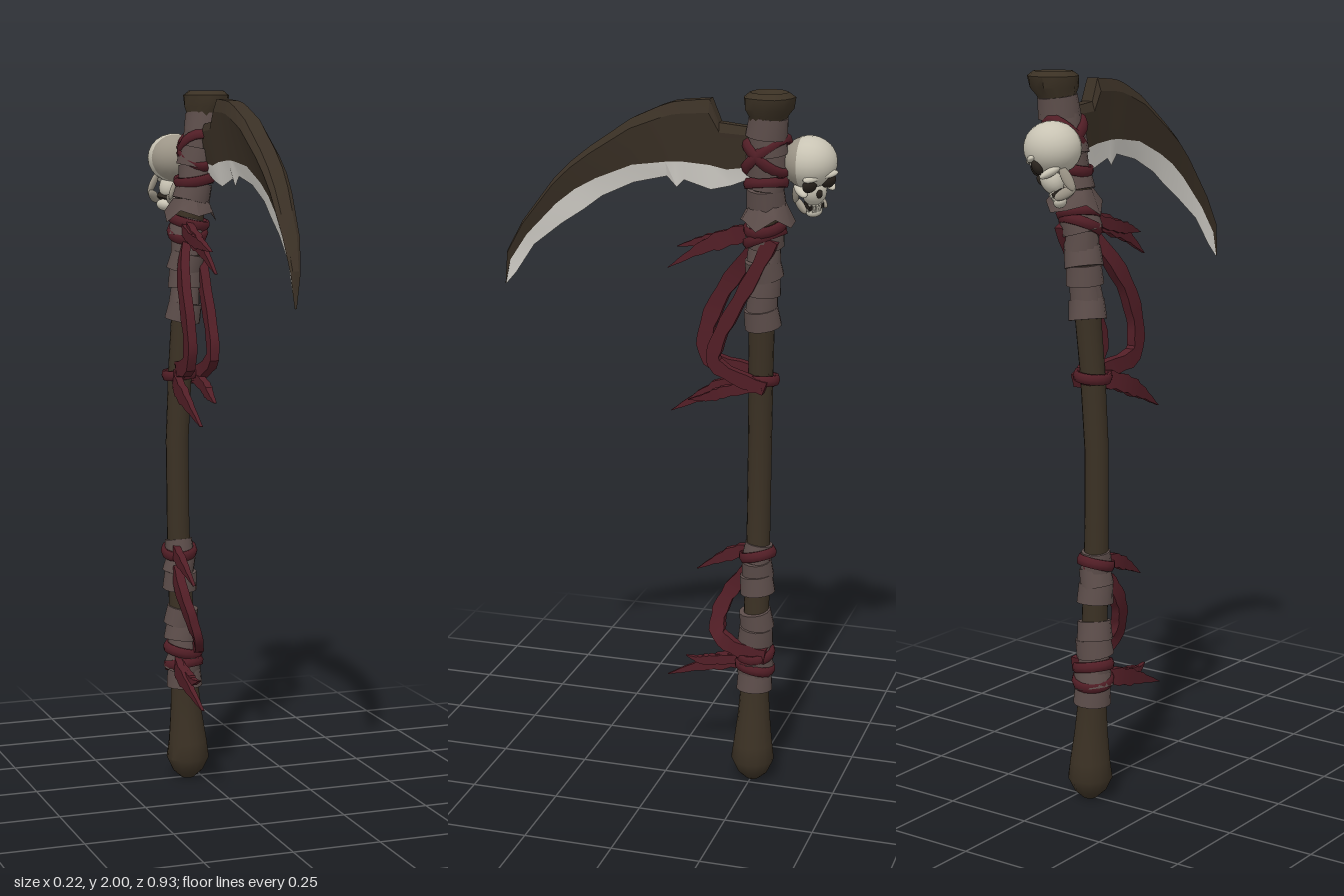
import * as THREE from 'three';
import { toCreasedNormals } from 'three/addons/utils/BufferGeometryUtils.js';

const paint = (name, color) => Object.assign(new THREE.MeshStandardMaterial({ color }), { name });
const V = (x, y, z) => new THREE.Vector3(x, y, z);

// Skin a list of rings (counter-clockwise around the sweep) and close both ends
function loft(rings, crease = 0.6) {
  const n = rings[0].length, pos = [], idx = [];
  rings.forEach(r => r.forEach(p => pos.push(p.x, p.y, p.z)));
  for (let i = 0; i < rings.length - 1; i++) {
    for (let j = 0; j < n; j++) {
      const a = i * n + j, b = i * n + (j + 1) % n;
      idx.push(a, b, b + n, a, b + n, a + n);
    }
  }
  const last = (rings.length - 1) * n;
  for (let j = 1; j < n - 1; j++) idx.push(0, j + 1, j, last, last + j, last + j + 1);
  const g = new THREE.BufferGeometry();
  g.setAttribute('position', new THREE.Float32BufferAttribute(pos, 3));
  g.setIndex(idx);
  return toCreasedNormals(g, crease);
}

// Shaft stations: y, x, z, radius
const SHAFT = [
  [0, -0.04, -0.252, 0.02], [0.022, -0.04, -0.252, 0.044], [0.06, -0.04, -0.252, 0.062],
  [0.11, -0.04, -0.252, 0.056], [0.19, -0.044, -0.252, 0.047], [0.27, -0.048, -0.252, 0.041],
  [0.5, -0.058, -0.252, 0.036], [0.75, -0.066, -0.253, 0.033], [1, -0.068, -0.254, 0.033],
  [1.2, -0.058, -0.257, 0.034], [1.4, -0.042, -0.262, 0.036], [1.6, -0.03, -0.27, 0.04],
  [1.75, -0.005, -0.278, 0.042], [1.9, 0.025, -0.288, 0.045], [1.935, 0.03, -0.29, 0.052],
  [1.955, 0.036, -0.293, 0.064], [1.985, 0.038, -0.295, 0.067], [1.998, 0.038, -0.295, 0.05],
  [1.985, 0.038, -0.295, 0.02]];

// Interpolated shaft centre and radius at a height
function at(y) {
  let i = 0;
  while (i < 13 && SHAFT[i + 1][0] < y) i++;
  const [a, b] = [SHAFT[i], SHAFT[i + 1]], t = (y - a[0]) / (b[0] - a[0]);
  return a.map((v, k) => v + (b[k] - v) * t);
}

export function createModel() {
  const root = new THREE.Group();
  root.name = 'scythe';
  const wood = paint('dark wood', 0x3b3124);
  const iron = paint('dark iron', 0x3a3025);
  const steel = paint('worn edge', 0xdad7d0);
  const cloth = paint('grey wrap', 0x5c4d4a);
  cloth.side = THREE.DoubleSide;
  const red = paint('red cloth', 0x521e26);
  const bone = paint('bone', 0xc9c4b4);
  const agedBone = paint('aged bone', 0x9c9587);
  const dark = paint('hollow', 0x29231d);
  const add = (name, geo, mat, parent = root) => {
    const m = new THREE.Mesh(geo, mat);
    m.name = name;
    parent.add(m);
    return m;
  };

  // Shaft with swollen pommel and knotted top
  add('shaft', loft(SHAFT.map(([y, x, z, r], i) => Array.from({ length: 14 }, (_, j) => {
    const a = j * Math.PI / 7, k = r * (1 + (i > 13 ? 0.05 : 0.02) * Math.sin(j * 2.4 + i * 0.7));
    return V(x + k * Math.cos(a), y, z - k * Math.sin(a));
  })), 0.8), wood);

  // Grey wrappings: stacks of slightly tilted, uneven bands
  [[0.28, 0.51, 5], [0.57, 0.71, 3], [1.35, 1.63, 6], [1.69, 1.93, 5]].forEach(([y0, y1, n], s) => {
    const h = (y1 - y0) / n;
    for (let i = 0; i < n; i++) {
      const y = y0 + h * (i + 0.5), [, x, z, r] = at(y), w = 0.004 * Math.sin(i * 2.3 + s);
      const g = toCreasedNormals(new THREE.CylinderGeometry(r + 0.008 + w, r + 0.012 + w, h * 1.15, 14), 0.6);
      const band = add('wrapBand', g, cloth);
      band.position.set(x, y, z);
      band.rotation.set(0.12 * Math.sin(i * 1.9 + s), 0, 0.14 * Math.cos(i * 2.7 + s) - 0.1);
    }
  });

  // Torn collar under the skull
  const collar = add('tornCollar', new THREE.CylinderGeometry(0.05, 0.076, 0.05, 9, 1, true), cloth);
  const cp = collar.geometry.attributes.position;
  for (let i = 10; i < 20; i++) cp.setY(i, cp.getY(i) + 0.018 * Math.sin((i % 10 % 9) * 2.5));
  collar.geometry.computeVertexNormals();
  collar.position.set(-0.018, 1.67, -0.28);

  // Red bands tied around the shaft: height, tilt x, tilt z
  [[0.385, 0.1, -0.2], [0.68, 0.25, 0.1], [0.345, -0.2, 0.1], [1.195, 0, 0.1], [1.6, 0.4, 0.1],
    [1.63, 0.2, -0.2], [1.83, 0.7, 0.2], [1.83, -0.7, -0.2], [1.75, 0.1, 0.2]].forEach(([y, tx, tz]) => {
    const [, x, z, r] = at(y);
    const g = new THREE.TorusGeometry(r + 0.011, 0.008, 6, 18).rotateX(Math.PI / 2);
    g.scale(1 / Math.cos(tz), 2, 1 / Math.cos(tx));
    const b = add('redBand', g, red);
    b.position.set(x, y, z);
    b.rotation.set(tx, 0, tz);
  });

  // Flat cloth strips; torn strips narrow to a point
  function ribbon(name, w, torn, pts) {
    const c = new THREE.CatmullRomCurve3(pts.map(p => V(...p))), n = 18, nx = V(1, 0, 0);
    add(name, loft(Array.from({ length: n + 1 }, (_, i) => {
      const u = i / n, p = c.getPoint(u), b = c.getTangent(u).cross(nx).normalize();
      const taper = torn ? Math.min(1, (1 - u) * 2.2) + 0.04 : 1;
      const k = w / 2 * taper * (1 + 0.12 * Math.sin(i * 2.1));
      const h = torn ? 0.004 + 0.006 * taper : 0.013;
      return [[1, 1], [-1, 1], [-1, -1], [1, -1]].map(([s, t]) =>
        p.clone().addScaledVector(nx, s * h).addScaledVector(b, t * k));
    })), red);
  }
  ribbon('upperTail', 0.045, true,
    [[-0.01, 1.63, -0.31], [-0.045, 1.6, -0.2], [-0.045, 1.56, -0.1], [-0.04, 1.495, 0.005]]);
  ribbon('upperTailFork', 0.03, true,
    [[-0.05, 1.61, -0.24], [-0.055, 1.585, -0.15], [-0.05, 1.57, -0.08], [-0.045, 1.555, -0.02]]);
  ribbon('outerLoop', 0.045, false, [[-0.02, 1.62, -0.29], [-0.07, 1.5, -0.19], [-0.083, 1.4, -0.125],
    [-0.083, 1.3, -0.092], [-0.083, 1.235, -0.105], [-0.08, 1.215, -0.19], [-0.05, 1.195, -0.28]]);
  ribbon('innerLoop', 0.038, false, [[0.008, 1.6, -0.3], [0.006, 1.5, -0.25], [0.004, 1.4, -0.195],
    [0.002, 1.31, -0.15], [0, 1.25, -0.14], [-0.005, 1.21, -0.2], [-0.02, 1.18, -0.28]]);
  ribbon('lowerTail', 0.045, true,
    [[-0.06, 1.2, -0.29], [-0.09, 1.17, -0.18], [-0.092, 1.13, -0.09], [-0.085, 1.075, 0.008]]);
  ribbon('lowerTailFork', 0.03, true,
    [[-0.015, 1.19, -0.27], [-0.012, 1.165, -0.17], [-0.015, 1.145, -0.12], [-0.02, 1.13, -0.06]]);
  ribbon('gripTopTail', 0.035, true,
    [[-0.06, 0.685, -0.29], [-0.085, 0.68, -0.21], [-0.085, 0.65, -0.14], [-0.08, 0.61, -0.07]]);
  ribbon('gripLoop', 0.042, false, [[-0.08, 0.63, -0.23], [-0.08, 0.57, -0.18], [-0.065, 0.5, -0.145],
    [-0.045, 0.435, -0.145], [-0.025, 0.405, -0.2], [-0.02, 0.39, -0.29]]);
  ribbon('gripLowerTail', 0.045, true,
    [[-0.05, 0.36, -0.29], [-0.085, 0.345, -0.2], [-0.09, 0.315, -0.1], [-0.085, 0.27, 0.018]]);
  ribbon('gripLowerFork', 0.026, true,
    [[-0.08, 0.35, -0.21], [-0.08, 0.335, -0.12], [-0.08, 0.33, -0.08], [-0.075, 0.34, -0.04]]);

  // Blade stations: spine z,y / bevel z,y / edge z,y / centre x, half thickness
  const BLADE = [
    [-0.27, 1.9, -0.27, 1.8, -0.27, 1.775, 0.022, 0.022], [-0.16, 1.912, -0.18, 1.788, -0.19, 1.743, 0.026, 0.026],
    [-0.135, 1.973, -0.135, 1.798, -0.135, 1.73, 0.028, 0.028], [-0.065, 1.967, -0.065, 1.804, -0.062, 1.753, 0.032, 0.031],
    [-0.035, 1.962, -0.04, 1.804, -0.042, 1.732, 0.033, 0.032], [0, 1.95, -0.015, 1.802, -0.015, 1.761, 0.034, 0.033],
    [0.077, 1.915, 0.077, 1.79, 0.077, 1.74, 0.038, 0.036], [0.193, 1.835, 0.18, 1.748, 0.167, 1.698, 0.039, 0.035],
    [0.25, 1.79, 0.24, 1.715, 0.22, 1.658, 0.038, 0.034], [0.3, 1.74, 0.295, 1.672, 0.285, 1.615, 0.036, 0.031],
    [0.395, 1.618, 0.385, 1.58, 0.368, 1.55, 0.029, 0.024], [0.448, 1.528, 0.44, 1.502, 0.426, 1.466, 0.02, 0.014],
    [0.459, 1.433, 0.458, 1.432, 0.457, 1.431, 0.016, 0.003]];
  add('bladeBody', loft(BLADE.map(([sz, sy, bz, by, , , x, h]) => [
    V(x + h * 0.6, sy, sz), V(x - h * 0.6, sy, sz), V(x - h, sy * 0.8 + by * 0.2, sz * 0.8 + bz * 0.2),
    V(x - h * 0.45, by, bz), V(x + h * 0.45, by, bz), V(x + h, sy * 0.8 + by * 0.2, sz * 0.8 + bz * 0.2)]), 0.4), iron);
  add('bladeEdge', loft(BLADE.map(([, , bz, by, ez, ey, x, h]) => [
    V(x + h * 0.45, by, bz), V(x - h * 0.45, by, bz), V(x, ey, ez)]), 0.4), steel);

  // Skull tied to the back of the shaft, modelled facing +z, then turned, bowed and tipped
  const skull = new THREE.Group();
  skull.name = 'skull';
  skull.position.set(-0.03, 1.808, -0.389);
  skull.rotation.set(0.48, 2.35, 0.2, 'YXZ');
  root.add(skull);

  // Cranium in two pieces, the side against the shaft being darker
  const split = 1.3;
  [['craniumShaftSide', agedBone, 0, split], ['cranium', bone, split, Math.PI - split]].forEach(([name, mat, t0, len]) => {
    const m = add(name, new THREE.SphereGeometry(1, 22, 9, 0, Math.PI * 2, t0, len).rotateX(Math.PI / 2), mat);
    m.position.copy(skull.position);
    m.scale.set(0.077, 0.07, 0.074);
  });
  const ball = (name, mat, x, y, z, a, b, c) => {
    const m = add(name, new THREE.SphereGeometry(1, 18, 12), mat, skull);
    m.position.set(x, y, z);
    m.scale.set(a, b, c);
  };
  const block = (name, mat, x, y, z, a, b, c) =>
    add(name, new THREE.BoxGeometry(a, b, c), mat, skull).position.set(x, y, z);
  ball('upperJaw', bone, 0, -0.07, 0.042, 0.034, 0.04, 0.03);
  ball('noseHollow', dark, 0, -0.058, 0.068, 0.009, 0.014, 0.008);
  ball('chin', bone, 0, -0.13, 0.05, 0.024, 0.016, 0.018);
  for (const s of [-1, 1]) {
    ball('eyeSocket', dark, s * 0.028, -0.025, 0.061, 0.021, 0.022, 0.013);
    ball('brow', bone, s * 0.026, 0, 0.064, 0.026, 0.009, 0.012);
    ball('cheekbone', bone, s * 0.042, -0.054, 0.04, 0.014, 0.011, 0.03);
    ball('jawSide', agedBone, s * 0.031, -0.118, 0.03, 0.009, 0.014, 0.032);
    ball('jawHinge', agedBone, s * 0.037, -0.088, 0.008, 0.008, 0.036, 0.014);
  }
  block('mouthGap', dark, 0, -0.109, 0.046, 0.044, 0.014, 0.03);
  for (let i = -2; i <= 2; i++) {
    block('upperTooth', bone, i * 0.009, -0.105, 0.063 - i * i * 0.002, 0.007, 0.012, 0.008);
    block('lowerTooth', bone, i * 0.009, -0.117, 0.062 - i * i * 0.002, 0.007, 0.01, 0.008);
  }
  return root;
}
